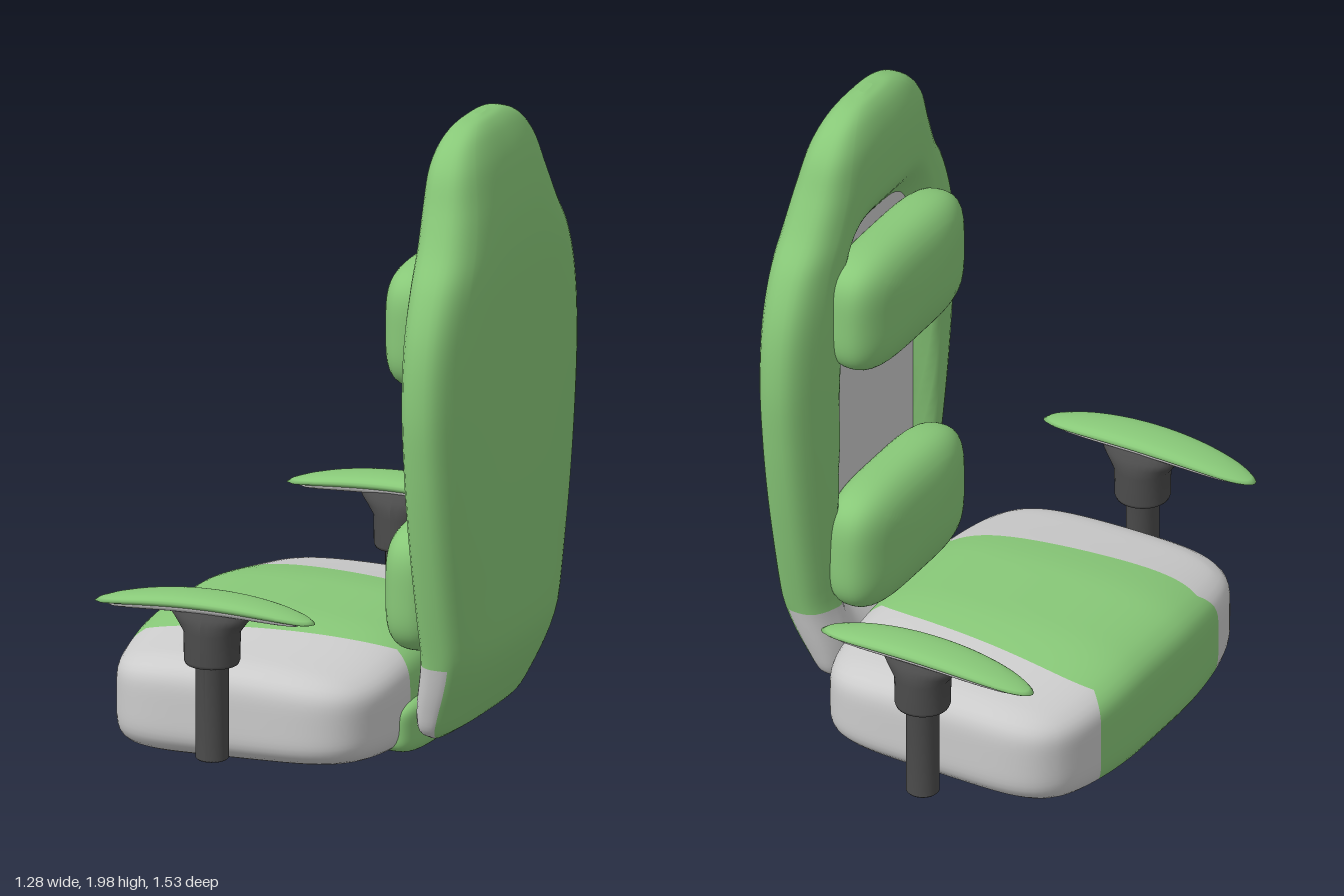
import * as THREE from 'three';
import { mergeVertices } from 'three/addons/utils/BufferGeometryUtils.js';

const GREEN = 0x88c878, GREY = 0xcccccc, DARK = 0x4c4c4c;
const { smoothstep, lerp } = THREE.MathUtils;
const material = (color) => new THREE.MeshStandardMaterial({ color, side: THREE.DoubleSide });

// Scale that turns a cube of half size 1 into a rounded solid (higher p = boxier)
function rounding(p, ...c) {
  const m = Math.max(...c.map(Math.abs));
  return m === 0 ? 1 : m / Math.pow(c.reduce((s, v) => s + Math.pow(Math.abs(v), p), 0), 1 / p);
}

// Smooth solid: every point of a gridded cube is moved by a rule.
// isGrey, if given, splits the faces into a green and a grey mesh.
function softSolid(name, [nx, ny, nz], color, rule, isGrey) {
  let geo = new THREE.BoxGeometry(2, 2, 2, nx, ny, nz);
  geo.deleteAttribute('normal');
  geo.deleteAttribute('uv');
  geo = mergeVertices(geo, 1e-5);
  const pos = geo.attributes.position, idx = geo.index.array;
  const main = [], grey = [], v = new THREE.Vector3(), c = new THREE.Vector3();
  for (let i = 0; i < idx.length; i += 3) {
    c.set(0, 0, 0);
    for (let k = 0; k < 3; k++) c.add(v.fromBufferAttribute(pos, idx[i + k]));
    c.divideScalar(3);
    (isGrey && isGrey(c) ? grey : main).push(idx[i], idx[i + 1], idx[i + 2]);
  }
  for (let i = 0; i < pos.count; i++) {
    rule(v.fromBufferAttribute(pos, i));
    pos.setXYZ(i, v.x, v.y, v.z);
  }
  geo.computeVertexNormals();
  const group = new THREE.Group();
  group.name = name;
  for (const [list, col, part] of [[main, color, 'Cover'], [grey, GREY, 'Trim']]) {
    if (!list.length) continue;
    const g = geo.clone();
    g.setIndex(list);
    const mesh = new THREE.Mesh(g, material(col));
    mesh.name = name + part;
    group.add(mesh);
  }
  return group;
}

// Upright pad with centre, half sizes, outline boxiness and edge boxiness
function pad(name, color, [cx, cy, cz], [rx, ry, rz], outline, edge) {
  return softSolid(name, [14, 24, 24], color, (v) => {
    const k = rounding(outline, v.y, v.z);
    const e = rounding(edge, v.x, Math.max(Math.abs(v.y), Math.abs(v.z)));
    v.set(cx + v.x * e * rx, cy + v.y * k * e * ry, cz + v.z * k * e * rz);
  });
}

// Seat cushion: green centre between two grey bolsters
function seat() {
  return softSolid('seat', [28, 18, 32], GREEN, (v) => {
    let border = lerp(0.6, 0.41, (v.x + 1) / 2);
    border = lerp(border, 0.7, smoothstep(-v.y, 0.85, 1));
    const s = Math.abs(v.z);
    v.z = Math.sign(v.z) * (s < 0.5 ? s * 2 * border : border + (s - 0.5) * 2 * (1 - border));
    v.multiplyScalar(rounding(5, v.x, v.y, v.z));
    const { x, y, z } = v;
    const bolster = smoothstep(Math.abs(z), 0.2, 0.8);
    const bow = x < 0 ? -0.022 * x * bolster : 0;
    const top = y * (0.218 - 0.035 * bolster - 0.035 * x * x);
    const bottom = y * (0.195 - 0.02 * (x + 1) - 0.02 * z * z);
    v.set(0.02 + 0.455 * x + bow, 0.2 + (y > 0 ? top : bottom), 0.6 * z);
  }, (c) => Math.abs(c.z) > 0.5);
}

// Backrest shell: half width, height and half thickness from bottom to top
function backrest() {
  const profile = new THREE.CatmullRomCurve3([
    [0.25, 0.11, 0.03], [0.3, 0.14, 0.065], [0.33, 0.22, 0.09], [0.375, 0.4, 0.11],
    [0.422, 0.6, 0.116], [0.462, 0.8, 0.12], [0.492, 1.0, 0.121], [0.508, 1.2, 0.121],
    [0.49, 1.4, 0.121], [0.435, 1.55, 0.121], [0.362, 1.66, 0.12], [0.308, 1.77, 0.113],
    [0.263, 1.88, 0.096], [0.2, 1.95, 0.07], [0.12, 1.987, 0.042], [0.03, 2.0, 0.012],
  ].map((p) => new THREE.Vector3(...p)));
  return softSolid('backrest', [12, 75, 36], GREEN, (v) => {
    const ring = profile.getPoint((v.y + 1) / 2);
    const k = rounding(2.8, v.x, v.z), y = ring.y;
    const centre = 0.614 - 0.03 * smoothstep(y, 1.5, 2) - 0.07 * (1 - smoothstep(y, 0.08, 0.42));
    const z = v.z * k * ring.x;
    // hollow in the front for the inner panel
    const q = Math.pow((z / 0.3) ** 4 + ((y - 0.95) / 0.76) ** 4, 0.25);
    const hollow = v.x < 0 ? -v.x * 0.1 * (1 - smoothstep(q, 0.74, 1)) : 0;
    v.set(centre + v.x * k * ring.z + hollow, y, z - 0.01);
  }, (c) => c.y < -0.62 && c.x < 0.34);
}

// Armrest: curved pad on a flared holder and post
function armrest(name, z, dy) {
  const arm = new THREE.Group();
  arm.name = name;
  const curved = (part, color, y, rx, ry, rz) => softSolid(part, [32, 6, 12], color, (v) => {
    v.multiplyScalar(rounding(2.1, v.x, v.y, v.z));
    const x = v.x * rx;
    v.set(x, y + v.y * ry - 0.3 * (x - 0.04) ** 2, v.z * rz);
  });
  const profile = [[0, 0.1], [0.045, 0.1], [0.05, 0.105], [0.05, 0.39], [0.08, 0.4], [0.084, 0.41],
    [0.084, 0.5], [0.084, 0.53], [0.084, 0.55], [0.08, 0.575], [0, 0.575]];
  const geo = new THREE.LatheGeometry(profile.map((p) => new THREE.Vector2(...p)), 32);
  const pos = geo.attributes.position;
  for (let i = 0; i < pos.count; i++) {
    const y = pos.getY(i);
    pos.setX(i, pos.getX(i) * (1 + 0.7 * smoothstep(y, 0.49, 0.58)));
    pos.setZ(i, pos.getZ(i) * (1 - 0.3 * smoothstep(y, 0.53, 0.575)));
  }
  geo.computeVertexNormals();
  const post = new THREE.Mesh(geo, material(DARK));
  post.name = 'armPost';
  post.position.set(0.02, 0, -0.008 * Math.sign(z));
  arm.add(post, curved('armPad', GREEN, 0.595, 0.36, 0.024, 0.076),
    curved('armPadUnderside', GREY, 0.582, 0.32, 0.024, 0.066));
  arm.position.set(0, dy, z);
  return arm;
}

export function createModel() {
  // Built with the back towards +x, then turned slightly
  const chair = new THREE.Group();
  chair.name = 'chair';
  chair.add(
    seat(),
    backrest(),
    pad('backPanel', GREY, [0.6, 0.95, -0.01], [0.045, 0.74, 0.27], 5, 5),
    pad('headCushion', GREEN, [0.475, 1.373, -0.02], [0.12, 0.2, 0.325], 4, 2.5),
    pad('lumbarCushion', GREEN, [0.475, 0.557, -0.02], [0.12, 0.205, 0.325], 4, 2.5),
    pad('rearBracket', GREEN, [0.43, 0.14, -0.01], [0.085, 0.085, 0.33], 5, 4),
    armrest('armrestLeft', 0.672, 0),
    armrest('armrestRight', -0.674, -0.025),
  );
  chair.rotation.y = -0.217;
  chair.position.x = -0.145;
  const model = new THREE.Group();
  model.name = 'armchair';
  model.add(chair);
  return model;
}
